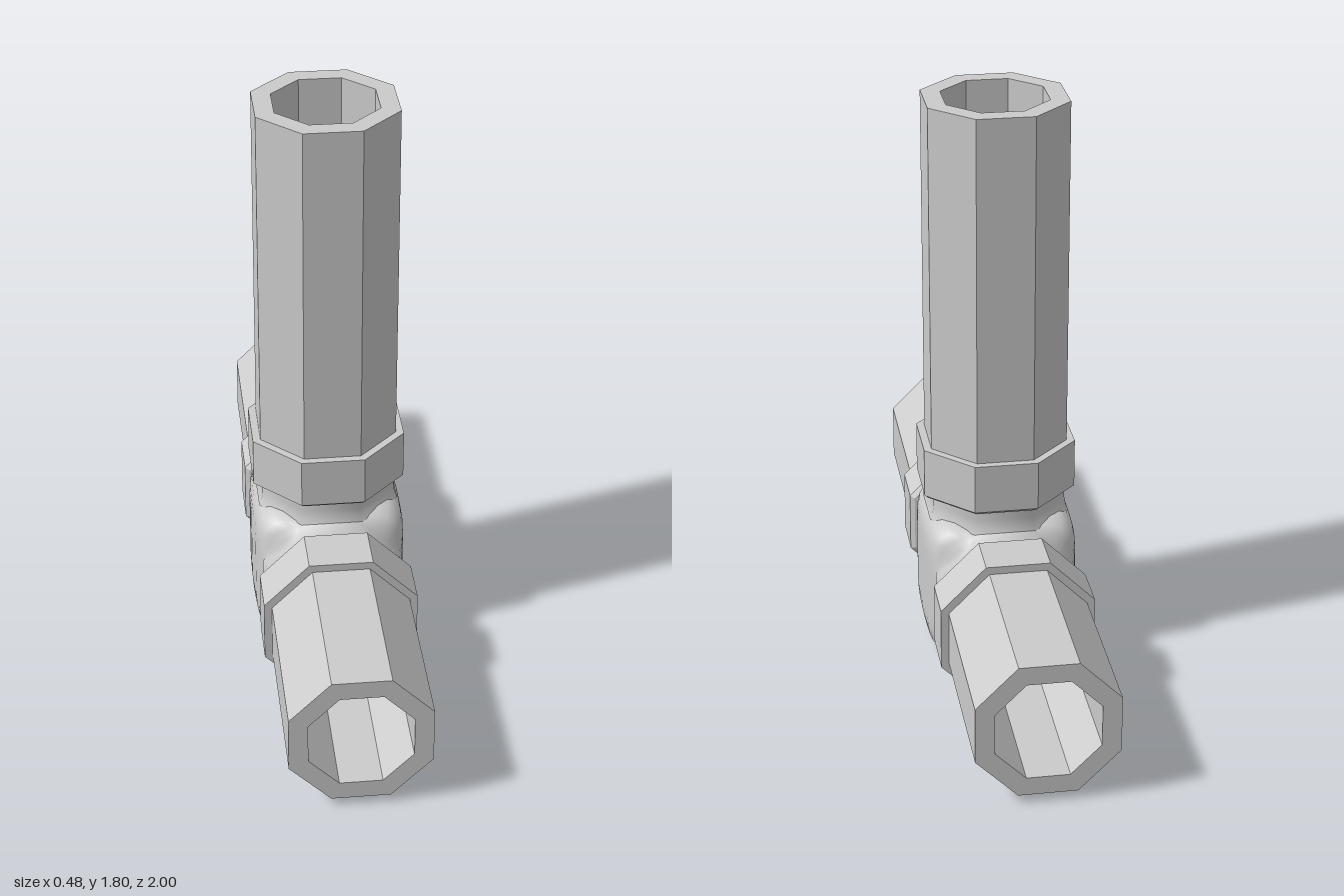
import * as THREE from 'three';

const grey = new THREE.MeshStandardMaterial({ color: 0xcccccc, flatShading: true });
const smooth = new THREE.MeshStandardMaterial({ color: 0xcccccc, side: THREE.DoubleSide });
const CENTRE = 0.24; // height of the joint centre
const FLAT = Math.cos(Math.PI / 8);

// Eight-sided turned part; profile pairs are [distance to flat, position along axis]
function octagonal(name, profile, material = grey) {
  const points = profile.map(([r, y]) => new THREE.Vector2(r / FLAT, y));
  const mesh = new THREE.Mesh(new THREE.LatheGeometry(points, 8, Math.PI / 8), material);
  mesh.name = name;
  return mesh;
}

// One pipe with its collar and neck, pointing up from the joint centre
function arm(name, length) {
  const group = new THREE.Group();
  group.name = name;
  group.add(
    octagonal('pipe', [[0.155, 0.2], [0.2, 0.2], [0.2, 0.3], [0.212, 0.3], [0.212, length], [0.155, length], [0.155, 0.2]]),
    octagonal('collar', [[0.2, 0.288], [0.222, 0.292], [0.236, 0.304], [0.236, 0.46], [0.2, 0.46]]),
    octagonal('neck', [[0.219, 0.215], [0.211, 0.235], [0.207, 0.26], [0.207, 0.3]], smooth),
  );
  return group;
}

// Soft box swelling out of the octagonal necks, lofted along z and open at the bores
function hub() {
  const sections = [
    // z, half width, blend from octagon (0) to soft square (1)
    [0.245, 0.205, 0], [0.225, 0.209, 0.25], [0.21, 0.215, 0.7], [0.19, 0.223, 0.92],
    [0.155, 0.231, 1], [0.12, 0.235, 1], [0.06, 0.237, 1], [0, 0.238, 1],
  ];
  const rows = [
    ...sections.map(([z, r, k]) => [-z, r, k]),
    ...sections.slice(0, -1).reverse(),
  ];
  const N = 64, position = [], index = [];
  for (const [z, half, blend] of rows) {
    for (let i = 0; i < N; i++) {
      const a = (i / N) * Math.PI * 2, c = Math.cos(a), s = Math.sin(a);
      const step = Math.PI / 4;
      const octagon = half / Math.cos(a - Math.round(a / step) * step);
      const square = half / Math.pow(Math.abs(c) ** 6.5 + Math.abs(s) ** 6.5, 1 / 6.5);
      const r = octagon + (square - octagon) * blend;
      position.push(c * r, s * r, z);
    }
  }
  for (let j = 0; j < rows.length - 1; j++) {
    for (let i = 0; i < N; i++) {
      // Leave the upper bore open
      const a = ((i + 0.5) / N) * Math.PI * 2;
      const x = 0.235 / Math.tan(a), z = (rows[j][0] + rows[j + 1][0]) / 2;
      if (Math.sin(a) > 0.7 && Math.abs(x) < 0.16 && Math.abs(z) < 0.16 && Math.abs(x) + Math.abs(z) < 0.23) continue;
      const p = j * N + i, q = j * N + ((i + 1) % N);
      index.push(p, q, p + N, q, q + N, p + N);
    }
  }
  const geometry = new THREE.BufferGeometry();
  geometry.setAttribute('position', new THREE.Float32BufferAttribute(position, 3));
  geometry.setIndex(index);
  geometry.computeVertexNormals();
  const mesh = new THREE.Mesh(geometry, smooth);
  mesh.name = 'teeHub';
  return mesh;
}

export function createModel() {
  const model = new THREE.Group();
  model.name = 'pipeTee';

  const upper = arm('upperArm', 1.8 - CENTRE);
  const front = arm('frontArm', 1);
  front.rotation.x = Math.PI / 2;
  const back = arm('backArm', 1);
  back.rotation.x = -Math.PI / 2;

  const joint = new THREE.Group();
  joint.name = 'joint';
  joint.position.y = CENTRE;
  joint.add(hub(), upper, front, back);
  model.add(joint);
  return model;
}
